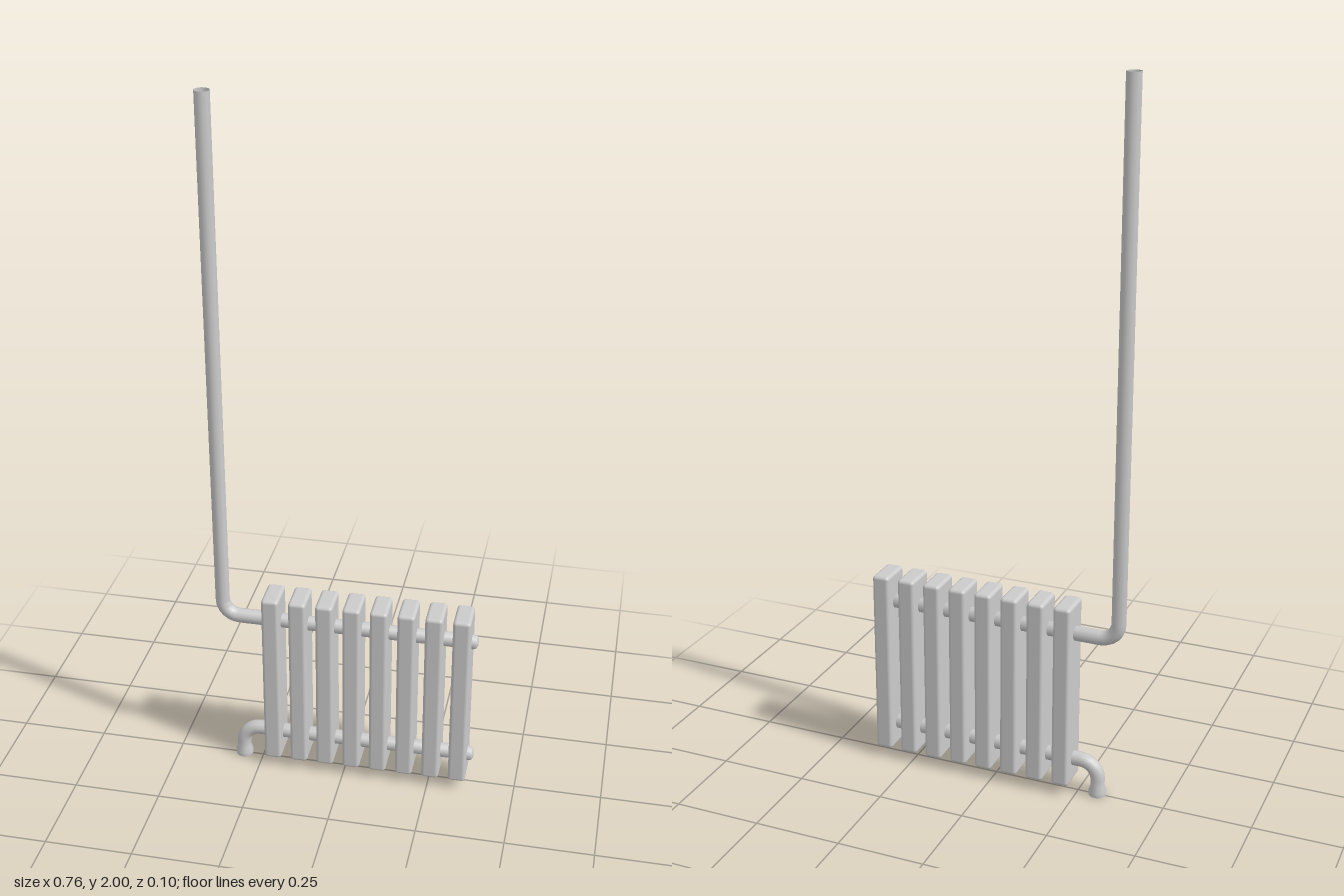
import * as THREE from 'three';
import { toCreasedNormals } from 'three/addons/utils/BufferGeometryUtils.js';
import { RoundedBoxGeometry } from 'three/addons/geometries/RoundedBoxGeometry.js';

const SIDES = 10;
const PIPE_R = 0.021;
const BEND_R = 0.05;
const END_X = 0.365;

// Sweep a round section along rings [x, y, heading, radius] lying in the xy plane
function sweep(rings) {
  const pos = [], index = [];
  for (const [x, y, a, r] of rings) {
    for (let j = 0; j < SIDES; j++) {
      const t = (j / SIDES) * Math.PI * 2;
      const n = r * Math.cos(t);
      pos.push(x - Math.sin(a) * n, y + Math.cos(a) * n, r * Math.sin(t));
    }
  }
  for (let i = 0; i < rings.length - 1; i++) {
    for (let j = 0; j < SIDES; j++) {
      const k = (j + 1) % SIDES;
      const a = i * SIDES + j, b = i * SIDES + k;
      index.push(a, b, a + SIDES, b, b + SIDES, a + SIDES);
    }
  }
  const geo = new THREE.BufferGeometry();
  geo.setAttribute('position', new THREE.Float32BufferAttribute(pos, 3));
  geo.setIndex(index);
  return toCreasedNormals(geo, 0.8);
}

// Quarter bend from vertical into the horizontal run; dir = -1 falls, +1 rises
function bend(x, y, dir) {
  const rings = [], steps = 6;
  for (let i = 0; i <= steps; i++) {
    const a = (1 - i / steps) * Math.PI / 2;
    rings.push([
      x + BEND_R * (1 - Math.sin(a)),
      y - dir * BEND_R * (1 - Math.cos(a)),
      dir * a, PIPE_R,
    ]);
  }
  return rings;
}

// Horizontal run finishing in a slightly domed plug
const plugEnd = (y) => [
  [END_X, y, 0, PIPE_R], [END_X + 0.008, y, 0, 0.018],
  [END_X + 0.012, y, 0, 0.011], [END_X + 0.013, y, 0, 0],
];

export function createModel() {
  const model = new THREE.Group();
  model.name = 'radiator';
  const material = new THREE.MeshStandardMaterial({ color: 0xcccccc });
  const openMaterial = new THREE.MeshStandardMaterial({ color: 0xcccccc, side: THREE.DoubleSide });
  const add = (name, geometry, mat) => {
    const mesh = new THREE.Mesh(geometry, mat);
    mesh.name = name;
    model.add(mesh);
    return mesh;
  };

  // Eight upright fins
  const fin = new RoundedBoxGeometry(0.05, 0.545, 0.1, 2, 0.01);
  for (let i = 0; i < 8; i++) {
    add(`fin${i + 1}`, fin, material).position.set(-0.209 + i * 0.0777, 0.3025, 0);
  }

  // Tall riser, open at the top, turning into the upper run
  const half = Math.PI / 2;
  add('upperPipe', sweep([
    [-0.357, 2, -half, PIPE_R],
    ...bend(-0.357, 0.487, -1),
    ...plugEnd(0.487),
  ]), openMaterial);

  // Lower run with a flared foot on the floor
  add('lowerPipe', sweep([
    [-0.307, 0, half, 0], [-0.307, 0, half, 0.025],
    [-0.307, 0.012, half, 0.026], [-0.307, 0.026, half, PIPE_R],
    ...bend(-0.307, 0.1, 1),
    ...plugEnd(0.1),
  ]), material);

  return model;
}
